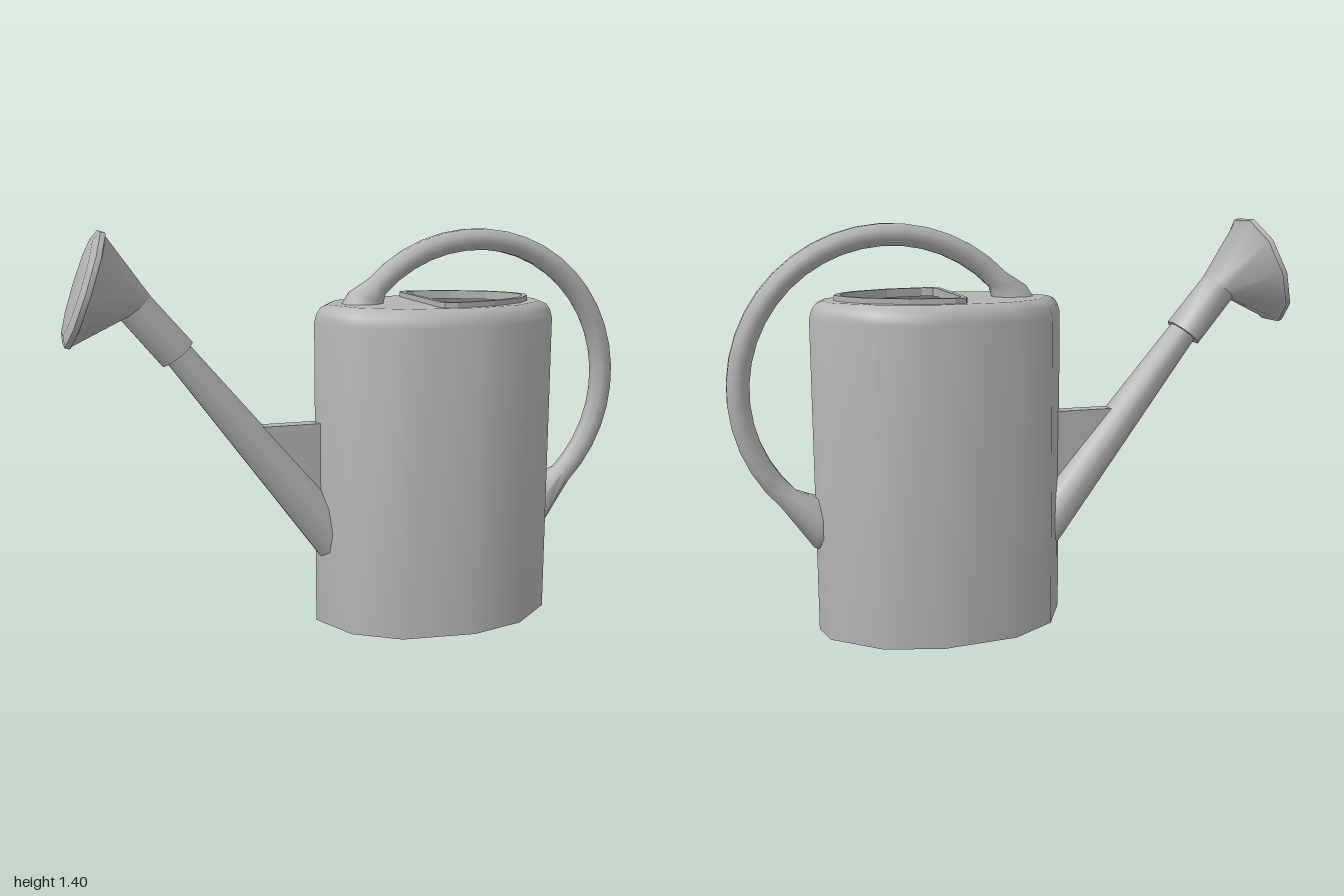
import * as THREE from 'three';
import { toCreasedNormals } from 'three/addons/utils/BufferGeometryUtils.js';

const CREASE = 0.95;

// Skin a list of equal-length vertex rings; a ring of coincident points closes an end.
function skin(rings) {
  const pos = [];
  const tri = (a, b, c) => {
    if (a.distanceTo(b) < 1e-6 || b.distanceTo(c) < 1e-6 || a.distanceTo(c) < 1e-6) return;
    pos.push(...a.toArray(), ...b.toArray(), ...c.toArray());
  };
  for (let k = 0; k < rings.length - 1; k++) {
    const n = rings[k].length;
    for (let j = 0; j < n; j++) {
      const a = rings[k][j], b = rings[k][(j + 1) % n];
      const c = rings[k + 1][j], d = rings[k + 1][(j + 1) % n];
      tri(a, b, c);
      tri(b, d, c);
    }
  }
  const g = new THREE.BufferGeometry();
  g.setAttribute('position', new THREE.Float32BufferAttribute(pos, 3));
  return toCreasedNormals(g, CREASE);
}

// Elliptical ring centred in the xy plane: in-plane half axis (ux, uy), half width hz.
function ring(n, cx, cy, ux, uy, hz) {
  return Array.from({ length: n }, (_, j) => {
    const t = ((j + 0.5) / n) * Math.PI * 2;
    return new THREE.Vector3(cx + ux * Math.cos(t), cy + uy * Math.cos(t), hz * Math.sin(t));
  });
}

// Complete a half outline (z >= 0, running from +x to -x) by mirroring it.
function mirrored(half) {
  const back = half.map(([x, z]) => [x, -z]);
  const front = half.filter(([, z]) => z > 0).reverse();
  return [...back, ...front];
}

const toPath = (pts, PathType) =>
  new PathType(pts.map(([x, z]) => new THREE.Vector2(x, -z)));

export function createModel() {
  const group = new THREE.Group();
  const grey = new THREE.MeshStandardMaterial({ color: 0xb3b3b3, side: THREE.DoubleSide });
  grey.name = 'grey';
  const add = (name, geometry) => {
    const mesh = new THREE.Mesh(geometry, grey);
    mesh.name = name;
    group.add(mesh);
    return mesh;
  };

  // Body: faceted oval tank with a rounded shoulder
  const outline = mirrored([
    [0.715, 0], [0.69, 0.11], [0.535, 0.245], [0.34, 0.298],
    [0.08, 0.27], [-0.075, 0.17], [-0.157, 0],
  ]);
  const cx = 0.28;
  const inset = (d) => outline.map(([x, z]) => [cx + (x - cx) * (1 - d / 0.435), z * (1 - d / 0.3)]);
  const level = (pts, y) => pts.map(([x, z]) => new THREE.Vector3(x, y, z));
  add('body', skin([
    level(outline.map(() => [cx, 0]), 0),
    level(outline, 0),
    level(outline, 1.08),
    level(inset(0.008), 1.11),
    level(inset(0.022), 1.13),
    level(inset(0.045), 1.14),
  ]));

  // Top plate with the filling hole
  const rimOuter = mirrored([
    [0.632, 0], [0.612, 0.065], [0.55, 0.142], [0.42, 0.212], [0.275, 0.24], [0.235, 0.225], [0.225, 0.2],
  ]);
  const rimInner = rimOuter.map(([x, z]) => [0.42 + (x - 0.42) * 0.91, z * 0.91]);
  const plate = toPath(inset(0.045), THREE.Shape);
  plate.holes.push(toPath(rimInner, THREE.Path));
  add('topPlate', new THREE.ShapeGeometry(plate).rotateX(-Math.PI / 2).translate(0, 1.14, 0));

  // Raised rim around the hole
  const rim = toPath(rimOuter, THREE.Shape);
  rim.holes.push(toPath(rimInner, THREE.Path));
  add('fillerRim', new THREE.ExtrudeGeometry(rim, { depth: 0.03, bevelEnabled: false })
    .rotateX(-Math.PI / 2).translate(0, 1.128, 0));

  // Handle: round loop, flared where it meets the top and the rear wall
  const handle = [ring(8, 0.013, 1.13, -0.077, 0, 0.06), ring(8, 0.03, 1.16, -0.062, 0.02, 0.052)];
  const steps = 22;
  for (let i = 0; i <= steps; i++) {
    const t = THREE.MathUtils.degToRad(136 - (181 * i) / steps);
    const c = Math.cos(t), s = Math.sin(t);
    handle.push(ring(8, 0.44 + 0.515 * c, 0.84 + 0.515 * s, 0.04 * c, 0.04 * s, 0.041));
  }
  handle.push(ring(8, 0.715, 0.388, 0.012, -0.09, 0.08), ring(8, 0.68, 0.37, 0, -0.085, 0.075));
  add('handle', skin(handle));

  // Spout: tapered tube leaning away from the body
  const lean = (x, y, r, hz = r) => ring(10, x, y, -0.789 * r, -0.614 * r, hz);
  add('spout', skin([lean(-0.045, 0.25, 0.086), lean(-0.66, 1.035, 0.048, 0.054)]));

  // Sleeve joining spout and rose
  add('sleeve', skin([
    lean(-0.63, 0.992, 0.045),
    lean(-0.63, 0.992, 0.067, 0.074),
    lean(-0.762, 1.15, 0.065, 0.074),
  ]));

  // Rose: bent cone with a thin bevelled face
  const tilt = (x, y, r, hz = r) => ring(10, x, y, -0.331 * r, -0.943 * r, hz);
  add('rose', skin([
    lean(-0.762, 1.15, 0.065, 0.074),
    tilt(-0.912, 1.21, 0.192),
    tilt(-0.915, 1.211, 0.203, 0.2),
    tilt(-0.931, 1.216, 0.203, 0.2),
    tilt(-0.945, 1.221, 0.167),
    tilt(-0.945, 1.221, 0),
  ]));

  // Brace plate between spout and body
  const brace = new THREE.Shape([
    new THREE.Vector2(-0.36, 0.73), new THREE.Vector2(-0.17, 0.42),
    new THREE.Vector2(-0.12, 0.42), new THREE.Vector2(-0.12, 0.73),
  ]);
  add('brace', new THREE.ExtrudeGeometry(brace, { depth: 0.052, bevelEnabled: false }).translate(0, 0, -0.026));

  return group;
}
